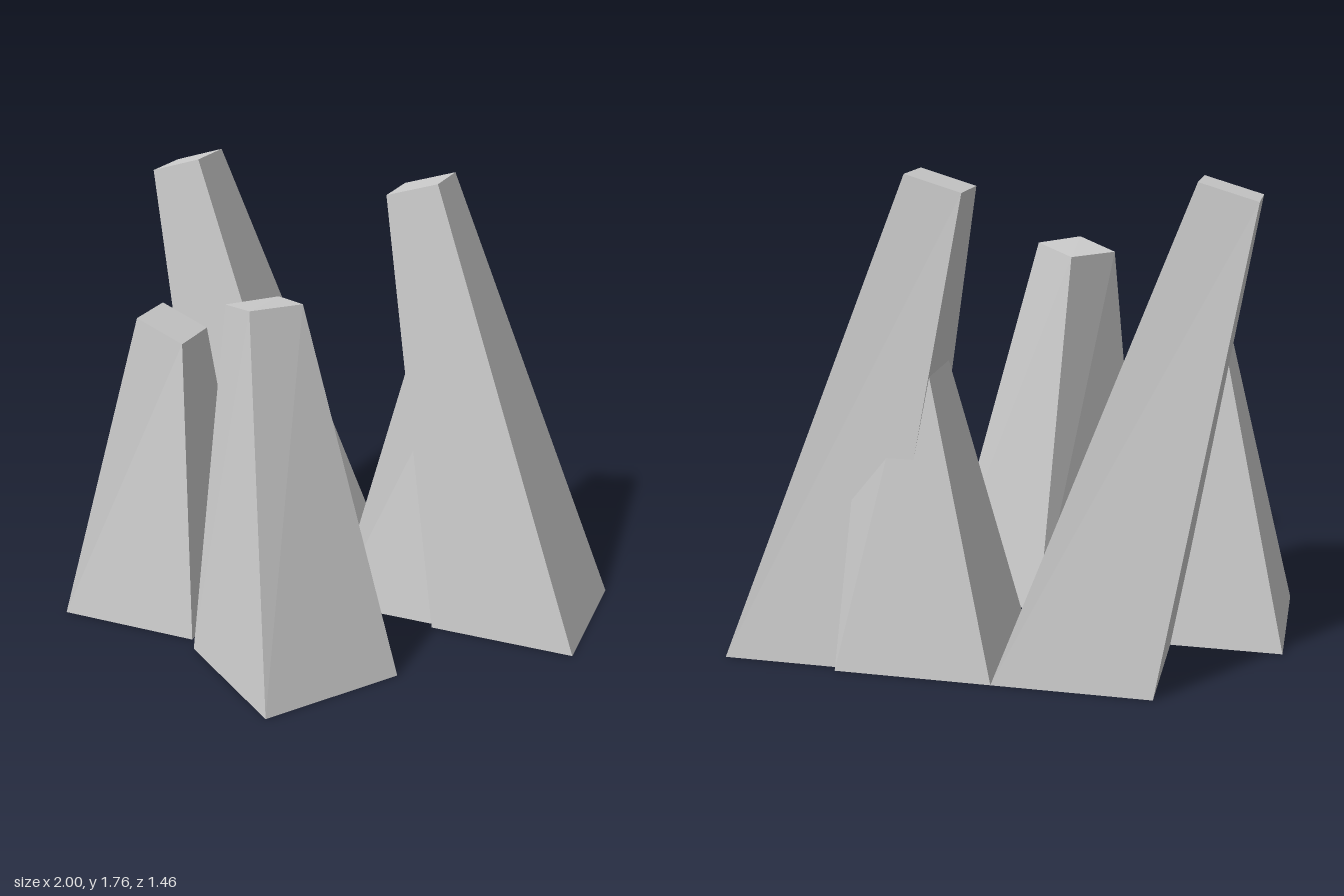
import * as THREE from 'three';

const material = new THREE.MeshStandardMaterial({ color: 0xcccccc, flatShading: true, side: THREE.DoubleSide });

// Four-sided tapering shell, open underneath; corners run back-left, back-right, front-right, front-left
function pillar(name, base, top) {
  const pos = [];
  const quad = (a, b, c, d) => pos.push(...a, ...b, ...c, ...a, ...c, ...d);
  for (let i = 0; i < 4; i++) {
    const j = (i + 1) % 4;
    quad(base[j], base[i], top[i], top[j]);
  }
  quad(top[0], top[3], top[2], top[1]);
  const geometry = new THREE.BufferGeometry();
  geometry.setAttribute('position', new THREE.Float32BufferAttribute(pos, 3));
  geometry.computeVertexNormals();
  const mesh = new THREE.Mesh(geometry, material);
  mesh.name = name;
  return mesh;
}

// Rectangle of corners whose height goes from yLeft (x0) to yRight (x1)
const rect = (x0, x1, z0, z1, yLeft = 0, yRight = yLeft) => [
  [x0, yLeft, z0], [x1, yRight, z0], [x1, yRight, z1], [x0, yLeft, z1],
];

export function createModel() {
  const group = new THREE.Group();
  group.name = 'rockPillars';

  // Two tall pillars leaning to one side
  [['tallPillarBack', 0, 0], ['tallPillarSide', 1.005, 0.03]].forEach(([name, dx, dz]) => {
    const p = pillar(name,
      rect(-0.585, -0.01, -0.73, -0.157),
      rect(-0.875, -0.673, -0.55, -0.34, 1.7, 1.76));
    p.position.set(dx, 0, dz);
    group.add(p);
  });

  // Two short pillars with sloping tops, one merging into a tall pillar
  [['shortPillarFront', 0, 0], ['shortPillarBack', 0.99, -0.48]].forEach(([name, dx, dz]) => {
    const p = pillar(name,
      rect(-1, -0.425, -0.25, 0.325),
      rect(-0.71, -0.52, -0.07, 0.14, 1.245, 1.165));
    p.position.set(dx, 0, dz);
    group.add(p);
  });

  // Turned pillar at the front
  group.add(pillar('turnedPillar',
    [[-0.045, 0, -0.075], [0.415, 0, 0.265], [0.075, 0, 0.725], [-0.388, 0, 0.385]],
    [[-0.135, 1.39, 0.098], [0.02, 1.42, 0.235], [-0.115, 1.425, 0.395], [-0.275, 1.39, 0.26]]));

  return group;
}
